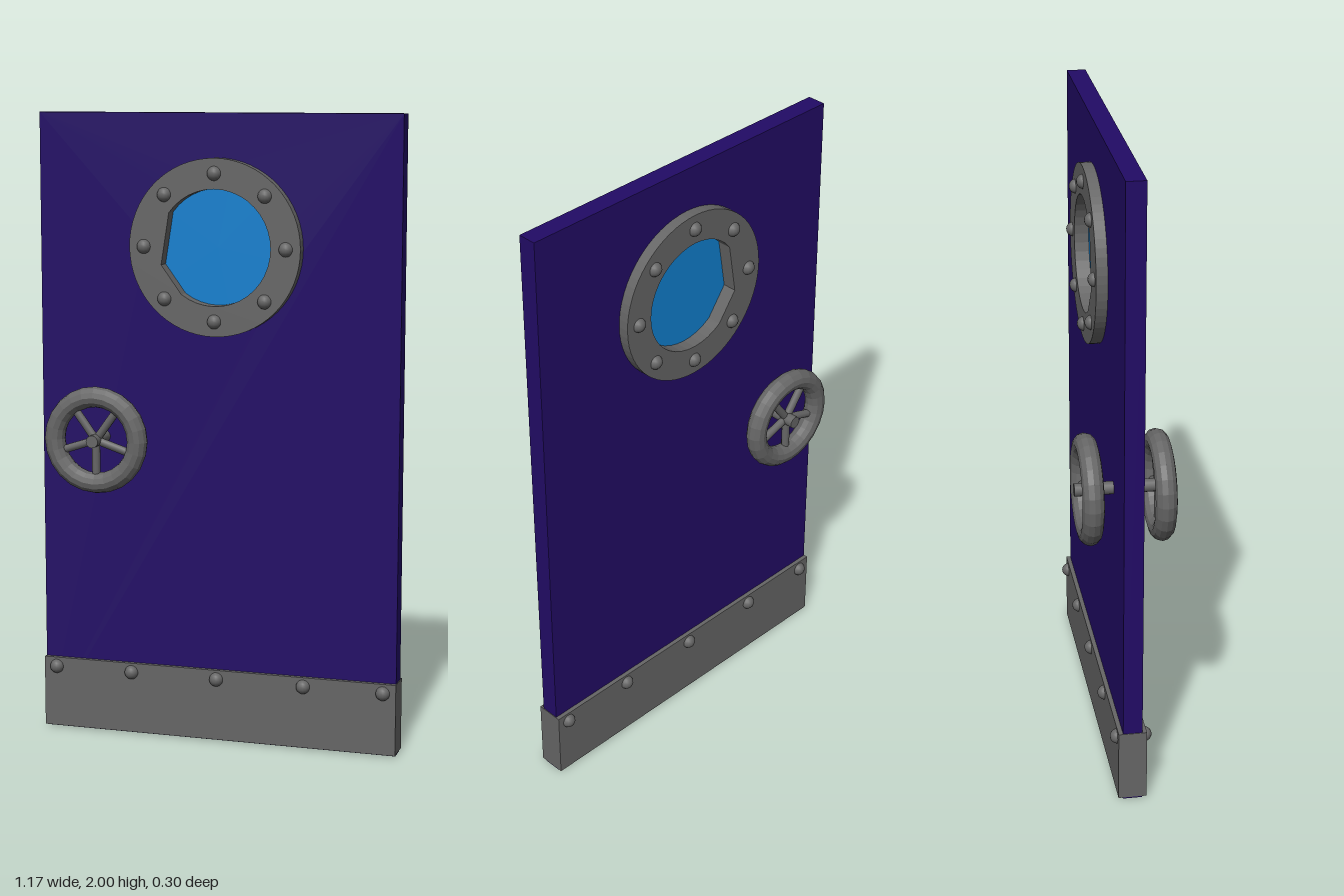
import * as THREE from 'three';

const metal = new THREE.MeshStandardMaterial({ color: 0x666666 });
const metalFlat = new THREE.MeshStandardMaterial({ color: 0x666666, flatShading: true });
const paint = new THREE.MeshStandardMaterial({ color: 0x220b66 });
const glassBlue = new THREE.MeshStandardMaterial({ color: 0x1080d0 });

const WINDOW_Y = 1.587, HALF_W = 0.585, TAU = Math.PI * 2;

function add(parent, name, geometry, material, x = 0, y = 0, z = 0) {
  const mesh = new THREE.Mesh(geometry, material);
  mesh.name = name;
  mesh.position.set(x, y, z);
  parent.add(mesh);
  return mesh;
}

// Extrude a flat shape so that it is centred on z = 0
function slab(shape, depth, curveSegments = 32) {
  const g = new THREE.ExtrudeGeometry(shape, { depth, bevelEnabled: false, curveSegments });
  return g.translate(0, 0, -depth / 2);
}

// Round rim whose opening has two straight cuts on the -x side
function rimShape() {
  const shape = new THREE.Shape();
  shape.absarc(0, 0, 0.276, 0, TAU, false);
  const points = [];
  for (let deg = 0; deg < 360; deg += 9) {
    if (deg > 144 && deg < 234 && deg !== 198) continue;
    const a = THREE.MathUtils.degToRad(deg);
    points.push(new THREE.Vector2(0.181 * Math.cos(a), 0.181 * Math.sin(a)));
  }
  shape.holes.push(new THREE.Path(points));
  return shape;
}

function createWheel() {
  const wheel = new THREE.Group();
  wheel.name = 'handWheel';
  add(wheel, 'wheelRim', new THREE.TorusGeometry(0.138, 0.033, 12, 24), metalFlat);
  for (let i = 0; i < 5; i++) {
    const a = -Math.PI / 2 + (i * TAU) / 5;
    const spoke = add(wheel, 'spoke', new THREE.CylinderGeometry(0.013, 0.013, 0.125, 10), metal,
      0.0625 * Math.cos(a), 0.0625 * Math.sin(a));
    spoke.rotation.z = a - Math.PI / 2;
  }
  return wheel;
}

export function createModel() {
  const door = new THREE.Group();
  door.name = 'door';

  // Door leaf with the window opening cut through
  const leaf = new THREE.Shape();
  leaf.moveTo(-HALF_W, 0);
  leaf.lineTo(HALF_W, 0);
  leaf.lineTo(HALF_W, 2);
  leaf.lineTo(-HALF_W, 2);
  leaf.closePath();
  const opening = new THREE.Path();
  opening.absarc(0, WINDOW_Y, 0.23, 0, TAU, true);
  leaf.holes.push(opening);
  add(door, 'doorLeaf', slab(leaf, 0.06), paint);

  // Round window
  add(door, 'windowRim', slab(rimShape(), 0.13), metal, 0, WINDOW_Y);
  const pane = new THREE.CylinderGeometry(0.2, 0.2, 0.04, 32).rotateX(Math.PI / 2);
  add(door, 'windowPane', pane, glassBlue, 0, WINDOW_Y);

  // Kick plate wrapped round the foot of the door
  add(door, 'kickPlate', new THREE.BoxGeometry(HALF_W * 2 + 0.004, 0.23, 0.088), metal, 0, 0.12);

  // Rivets and hand wheels on both faces
  const rivet = new THREE.SphereGeometry(0.023, 14, 10);
  for (const side of [1, -1]) {
    for (let i = 0; i < 8; i++) {
      const a = (i * TAU) / 8;
      add(door, 'windowRivet', rivet, metal,
        0.229 * Math.cos(a), WINDOW_Y + 0.229 * Math.sin(a), side * 0.061);
    }
    for (const x of [-0.545, -0.287, 0, 0.287, 0.545]) {
      add(door, 'plateRivet', rivet, metal, x, 0.205, side * 0.042);
    }
    const wheel = createWheel();
    wheel.position.set(-0.377, 0.975, side * 0.109);
    door.add(wheel);
  }

  // Axle joining the two wheels
  const axle = new THREE.CylinderGeometry(0.02, 0.02, 0.298, 16).rotateX(Math.PI / 2);
  add(door, 'wheelAxle', axle, metal, -0.377, 0.975);

  return door;
}
